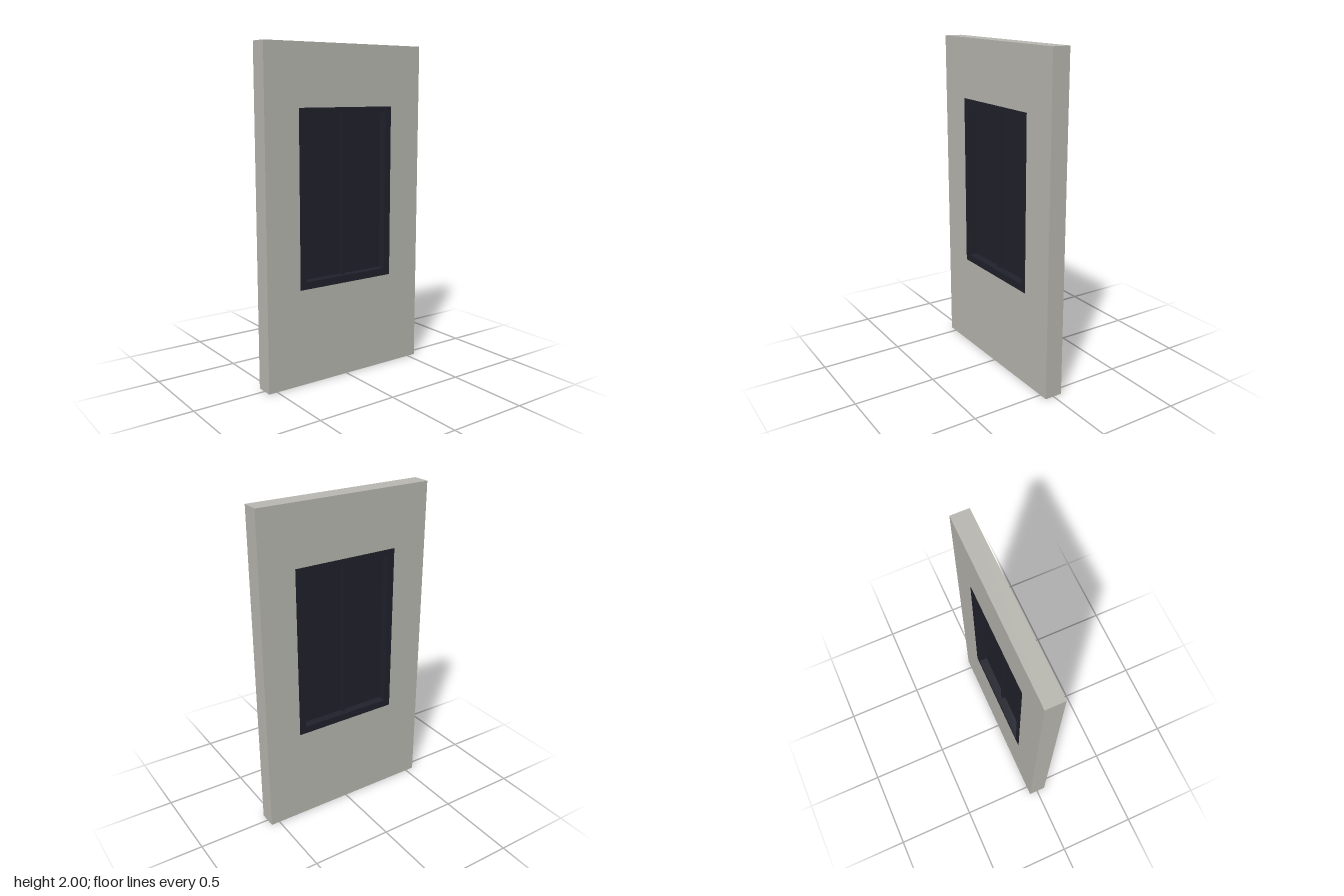
import * as THREE from 'three';

const DEPTH = 0.11;

// Rectangle outline given by half width, bottom and top
function rect(PathType, hw, y0, y1) {
  return new PathType([
    new THREE.Vector2(-hw, y0), new THREE.Vector2(hw, y0),
    new THREE.Vector2(hw, y1), new THREE.Vector2(-hw, y1),
  ]);
}

// Slab with a rectangular opening, centred on z = 0
function ring(name, outer, inner, material) {
  const shape = rect(THREE.Shape, ...outer);
  shape.holes.push(rect(THREE.Path, ...inner));
  const geometry = new THREE.ExtrudeGeometry(shape, { depth: DEPTH, bevelEnabled: false });
  geometry.translate(0, 0, -DEPTH / 2);
  const mesh = new THREE.Mesh(geometry, material);
  mesh.name = name;
  return mesh;
}

function box(name, w, h, d, x, y, material) {
  const mesh = new THREE.Mesh(new THREE.BoxGeometry(w, h, d), material);
  mesh.name = name;
  mesh.position.set(x, y, 0);
  return mesh;
}

export function createModel() {
  const concrete = new THREE.MeshStandardMaterial({ color: 0xbab9b2 });
  concrete.name = 'concrete';
  const darkMetal = new THREE.MeshStandardMaterial({ color: 0x21212c });
  darkMetal.name = 'dark metal';

  const group = new THREE.Group();
  group.name = 'wallWithWindow';

  const opening = [0.333, 0.583, 1.637];
  const inner = [0.29, 0.628, 1.6];
  const height = inner[2] - inner[1];
  const midY = (inner[1] + inner[2]) / 2;

  // Wall panel and the window frame flush with both of its faces
  group.add(ring('wall', [0.555, 0, 2], opening, concrete));
  group.add(ring('windowFrame', opening, inner, darkMetal));

  // Two recessed panes either side of the central mullion
  const mullion = 0.02;
  const paneWidth = inner[0] - mullion / 2;
  for (const side of [-1, 1]) {
    const x = side * (mullion + paneWidth) / 2;
    group.add(box(side > 0 ? 'leftPane' : 'rightPane', paneWidth, height, 0.01, x, midY, darkMetal));
  }
  group.add(box('mullion', mullion, height, 0.05, 0, midY, darkMetal));

  return group;
}
